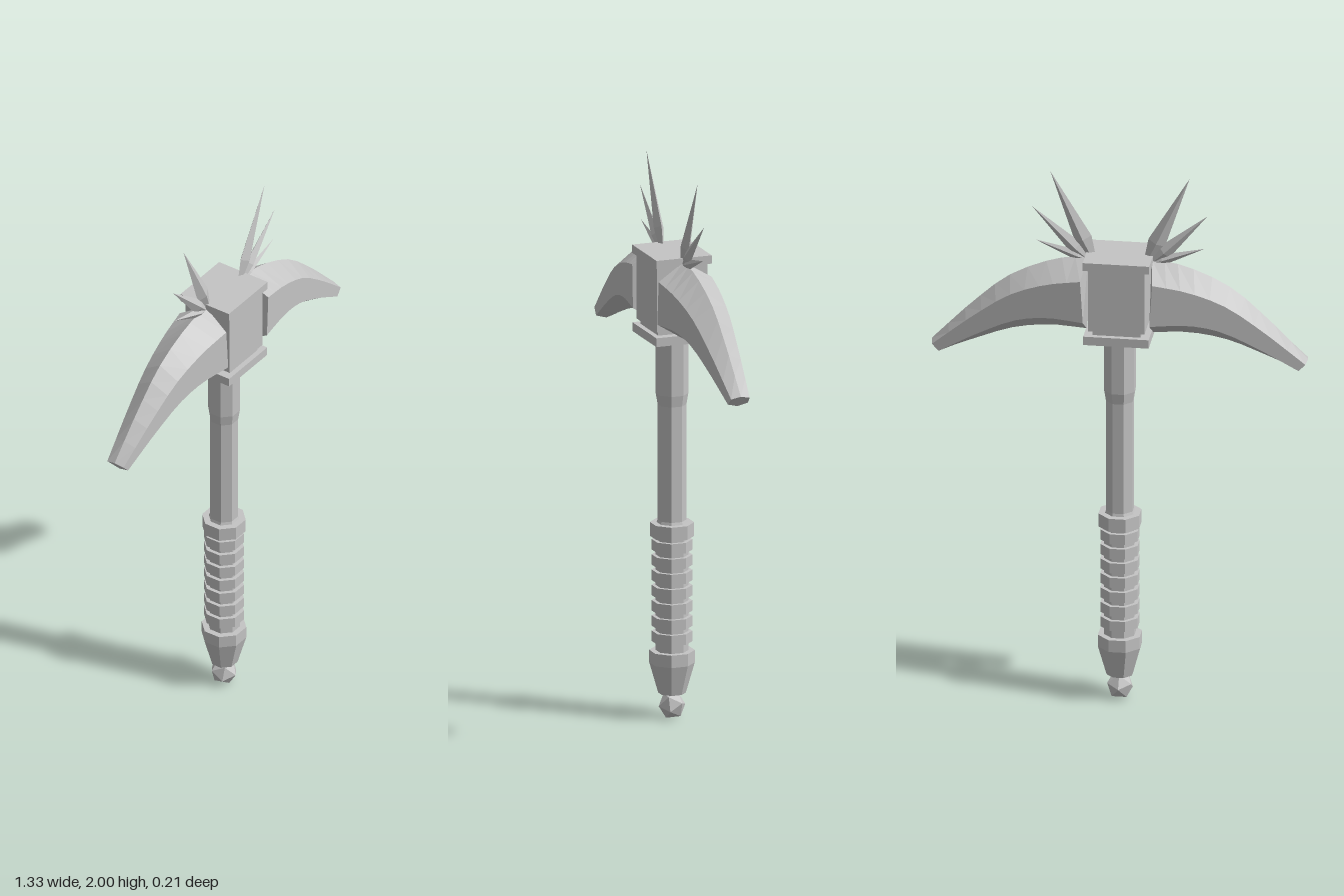
import * as THREE from 'three';

const grey = new THREE.MeshStandardMaterial({ color: 0xc4c4c4, flatShading: true });
grey.name = 'stone grey';

export function createModel() {
  const model = new THREE.Group();
  model.name = 'pickaxe';

  const add = (name, geometry, y = 0, parent = model) => {
    const mesh = new THREE.Mesh(geometry, grey);
    mesh.name = name;
    mesh.position.y = y;
    parent.add(mesh);
    return mesh;
  };

  // Eight-sided solid with flats facing front and sides; rows are [apothem, y]
  const octagon = (rows) => {
    const points = rows.map(([a, y]) => new THREE.Vector2(a / Math.cos(Math.PI / 8), y));
    points.unshift(new THREE.Vector2(0, rows[0][1]));
    points.push(new THREE.Vector2(0, rows[rows.length - 1][1]));
    return new THREE.LatheGeometry(points, 8, Math.PI / 8).toNonIndexed();
  };

  // Handle
  add('shaft', octagon([[0.053, 0.2], [0.053, 0.7], [0.047, 0.72], [0.047, 1.14], [0.053, 1.18], [0.053, 1.4]]));
  add('gripTopRing', octagon([[0.072, 0.66], [0.072, 0.71]]));
  for (let i = 0; i < 7; i++) {
    const y = 0.277 + i * 0.0555;
    add('gripRing', octagon([[0.066, y], [0.066, y + 0.038]]));
  }
  add('pommel', octagon([[0.045, 0.09], [0.074, 0.2], [0.074, 0.245]]));
  const gem = new THREE.IcosahedronGeometry(0.05, 0);
  gem.rotateX(Math.atan(2 / (1 + Math.sqrt(5)))); // stand on a corner
  gem.computeBoundingBox();
  add('pommelGem', gem, -gem.boundingBox.min.y);

  // Head block between two plates
  add('headBlock', new THREE.BoxGeometry(0.2, 0.24, 0.19), 1.555);
  add('headCore', new THREE.BoxGeometry(0.17, 0.28, 0.17), 1.54);
  add('topPlate', new THREE.BoxGeometry(0.236, 0.03, 0.208), 1.685);
  add('bottomPlate', new THREE.BoxGeometry(0.232, 0.032, 0.208), 1.402);
  add('collar', octagon([[0.07, 1.372], [0.07, 1.39]]));

  // Curved blade: ridge, shoulder, lower edge and keel lines as [x, y]
  const line = (pts) => new THREE.CatmullRomCurve3(pts.map(([x, y]) => new THREE.Vector3(x, y, 0)));
  const ridge = line([[0.112, 1.685], [0.23, 1.665], [0.39, 1.595], [0.52, 1.485], [0.667, 1.335]]);
  const shoulder = line([[0.128, 1.625], [0.25, 1.6], [0.38, 1.548], [0.51, 1.455], [0.662, 1.327]]);
  const lower = line([[0.118, 1.468], [0.25, 1.473], [0.36, 1.452], [0.49, 1.39], [0.638, 1.303]]);
  const keel = line([[0.118, 1.405], [0.25, 1.412], [0.38, 1.393], [0.51, 1.345], [0.635, 1.293]]);
  const width = (x) => 0.101 - (x - 0.12) * 0.122;

  const bladeGeometry = () => {
    const steps = 10, pos = [], idx = [];
    for (let i = 0; i <= steps; i++) {
      const [r, s, l, k] = [ridge, shoulder, lower, keel].map((c) => c.getPoint(i / steps));
      const sz = width(s.x), lz = width(l.x);
      pos.push(r.x, r.y, 0, s.x, s.y, sz, l.x, l.y, lz, k.x, k.y, 0, l.x, l.y, -lz, s.x, s.y, -sz);
    }
    for (let i = 0; i < steps; i++) {
      for (let j = 0; j < 6; j++) {
        const a = i * 6 + j, b = i * 6 + (j + 1) % 6;
        idx.push(a, b, b + 6, a, b + 6, a + 6);
      }
    }
    // End faces
    const e = steps * 6;
    for (let j = 1; j < 5; j++) {
      idx.push(0, j + 1, j);
      idx.push(e, e + j, e + j + 1);
    }
    const g = new THREE.BufferGeometry();
    g.setAttribute('position', new THREE.Float32BufferAttribute(pos, 3));
    g.setIndex(idx);
    const flat = g.toNonIndexed();
    flat.computeVertexNormals();
    return flat;
  };

  // Four-sided crystal spike from base to tip, thin in z
  const spike = (base, tip, halfWidth, halfDepth) => {
    const dx = tip[0] - base[0], dy = tip[1] - base[1], len = Math.hypot(dx, dy);
    const g = new THREE.LatheGeometry([
      new THREE.Vector2(0, 0), new THREE.Vector2(1, len * 0.32), new THREE.Vector2(0, len),
    ], 4).toNonIndexed();
    g.scale(halfWidth, 1, halfDepth);
    g.rotateZ(-Math.atan2(dx, dy));
    g.translate(base[0], base[1], 0);
    g.computeVertexNormals();
    return g;
  };

  // Both sides are the same, turned half a circle about y
  for (const side of ['left', 'right']) {
    const half = new THREE.Group();
    half.name = side + 'Side';
    half.rotation.y = side === 'left' ? 0 : Math.PI;
    add('blade', bladeGeometry(), 0, half);
    add('largeSpike', spike([0.075, 1.63], [0.247, 2.0], 0.032, 0.018), 0, half);
    add('middleSpike', spike([0.085, 1.645], [0.31, 1.86], 0.027, 0.016), 0, half);
    add('smallSpike', spike([0.08, 1.66], [0.3, 1.735], 0.02, 0.013), 0, half);
    model.add(half);
  }
  return model;
}
